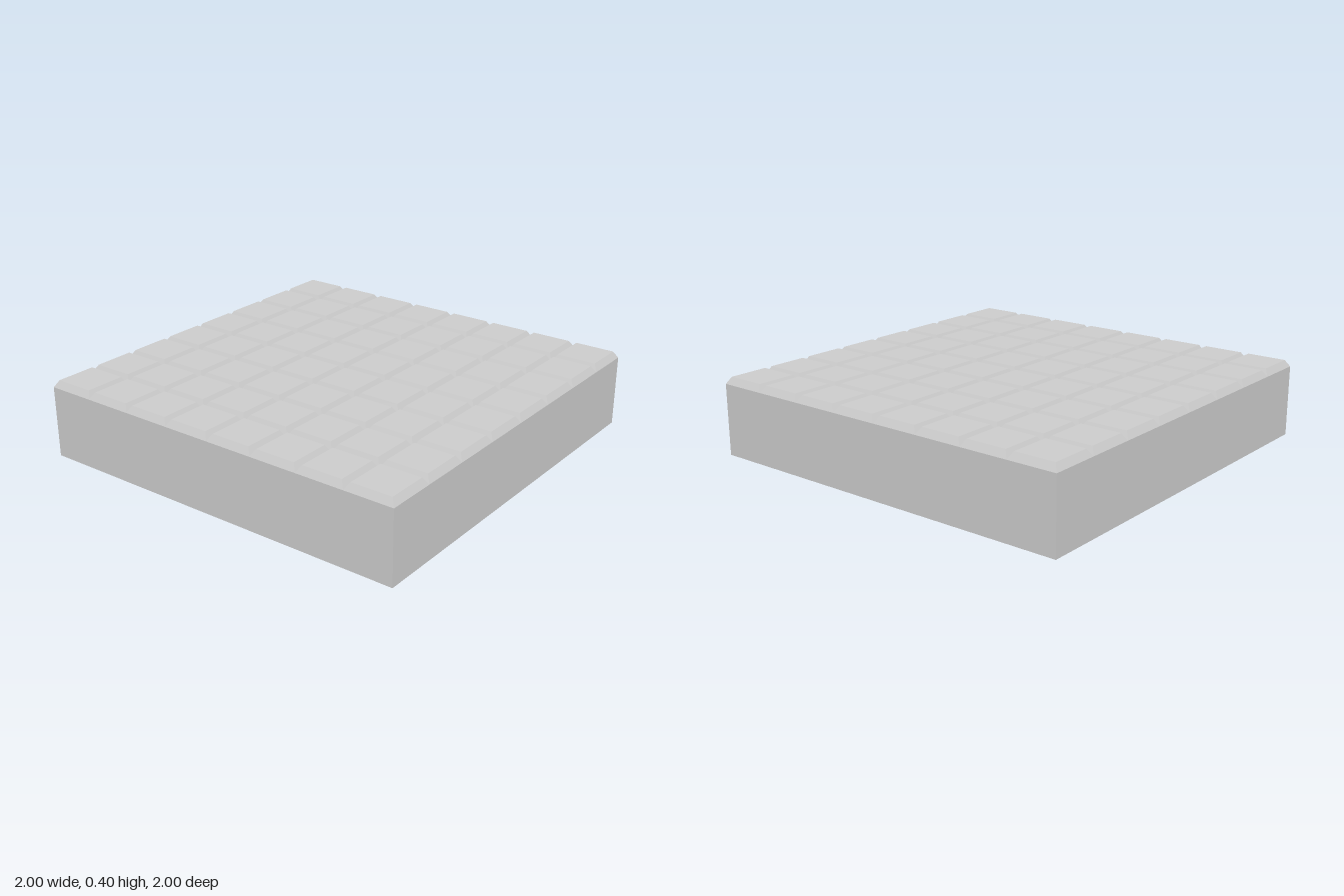
import * as THREE from 'three';

const SIZE = 2, COUNT = 8, TILE = SIZE / COUNT;
const BASE_H = 0.365, TOP_H = 0.4, BEVEL = 0.022;

// Box standing on y = 0 without one hidden face (2 = top, 3 = bottom), its top drawn in by an inset
function openBox(width, height, hiddenFace, inset = 0) {
  const geo = new THREE.BoxGeometry(width, height, width).translate(0, height / 2, 0);
  const index = Array.from(geo.index.array);
  index.splice(hiddenFace * 6, 6);
  geo.setIndex(index);
  geo.clearGroups();
  const pos = geo.attributes.position;
  for (let i = 0; i < pos.count; i++) {
    if (pos.getY(i) < height / 2) continue;
    pos.setX(i, pos.getX(i) - Math.sign(pos.getX(i)) * inset);
    pos.setZ(i, pos.getZ(i) - Math.sign(pos.getZ(i)) * inset);
  }
  geo.computeVertexNormals();
  return geo;
}

export function createModel() {
  const model = new THREE.Group();
  model.name = 'tiledSlab';
  const material = new THREE.MeshStandardMaterial({ color: 0xcccccc, flatShading: true });

  // Plain block below the tiles
  const base = new THREE.Mesh(openBox(SIZE, BASE_H, 2), material);
  base.name = 'base';
  model.add(base);

  // Grid of bevelled tiles; neighbouring bevels form the V grooves
  const tiles = new THREE.Group();
  tiles.name = 'tiles';
  const tileGeo = openBox(TILE, TOP_H - BASE_H, 3, BEVEL);
  for (let row = 0; row < COUNT; row++) {
    for (let col = 0; col < COUNT; col++) {
      const tile = new THREE.Mesh(tileGeo, material);
      tile.name = `tile ${row + 1}-${col + 1}`;
      tile.position.set((col + 0.5) * TILE - SIZE / 2, BASE_H, (row + 0.5) * TILE - SIZE / 2);
      tiles.add(tile);
    }
  }
  model.add(tiles);
  return model;
}
